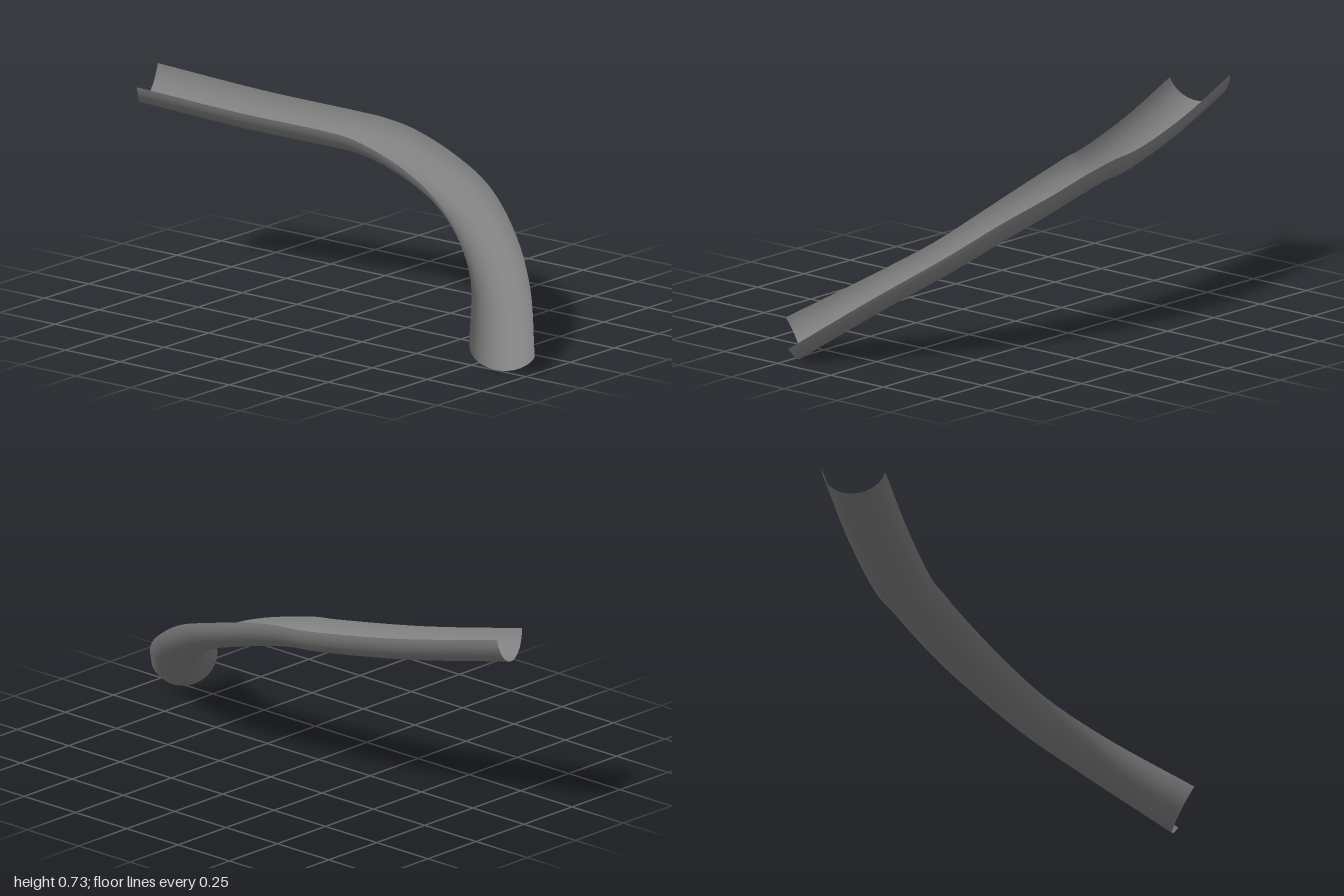
import * as THREE from 'three';

// Matching points along the two upper rims of the open channel: [x, y, z]
const OUTER = [
  [-1, 0.73, -0.14], [-0.6, 0.67, -0.26], [-0.25, 0.637, -0.348], [-0.13, 0.63, -0.358],
  [0, 0.61, -0.36], [0.2, 0.555, -0.34], [0.4, 0.485, -0.285], [0.6, 0.375, -0.18],
  [0.8, 0.24, -0.02], [1, 0.06, 0.2],
];
const INNER = [
  [-0.92, 0.70, 0.075], [-0.54, 0.645, -0.04], [-0.2, 0.612, -0.13], [-0.12, 0.603, -0.137],
  [-0.01, 0.578, -0.138], [0.15, 0.53, -0.123], [0.3, 0.47, -0.09], [0.46, 0.385, -0.02],
  [0.64, 0.275, 0.12], [0.83, 0.115, 0.36],
];
const HALF_ANGLE = THREE.MathUtils.degToRad(80);

const curveThrough = (pts) => new THREE.CatmullRomCurve3(pts.map((p) => new THREE.Vector3(...p)));

// Sweeps a circular arc that hangs between the two rims
function channelGeometry(steps, sides) {
  const outer = curveThrough(OUTER);
  const inner = curveThrough(INNER);
  const middle = (t) => outer.getPoint(t).add(inner.getPoint(t)).multiplyScalar(0.5);
  const positions = [];
  const index = [];
  for (let i = 0; i <= steps; i++) {
    const t = i / steps;
    const mid = middle(t);
    const tangent = middle(Math.min(1, t + 0.01)).sub(middle(Math.max(0, t - 0.01))).normalize();
    const across = inner.getPoint(t).sub(outer.getPoint(t));
    const radius = across.length() / 2 / Math.sin(HALF_ANGLE);
    across.normalize();
    const down = new THREE.Vector3().crossVectors(tangent, across).normalize();
    if (down.y > 0) down.negate();
    const centre = mid.addScaledVector(down, -radius * Math.cos(HALF_ANGLE));
    for (let j = 0; j <= sides; j++) {
      const a = HALF_ANGLE * (2 * j / sides - 1);
      const p = centre.clone()
        .addScaledVector(across, radius * Math.sin(a))
        .addScaledVector(down, radius * Math.cos(a));
      positions.push(p.x, p.y, p.z);
      if (i < steps && j < sides) {
        const k = i * (sides + 1) + j;
        const n = k + sides + 1;
        index.push(k, k + 1, n, k + 1, n + 1, n);
      }
    }
  }
  const geometry = new THREE.BufferGeometry();
  geometry.setAttribute('position', new THREE.Float32BufferAttribute(positions, 3));
  geometry.setIndex(index);
  geometry.computeVertexNormals();
  return geometry;
}

export function createModel() {
  const group = new THREE.Group();
  group.name = 'slide';

  const grey = new THREE.MeshStandardMaterial({ color: 0x808080, side: THREE.DoubleSide });
  grey.name = 'grey';

  const channel = new THREE.Mesh(channelGeometry(96, 28), grey);
  channel.name = 'channel';
  group.add(channel);

  // Rest the model on the ground
  const box = new THREE.Box3().setFromObject(group);
  channel.position.y = -box.min.y;
  return group;
}
